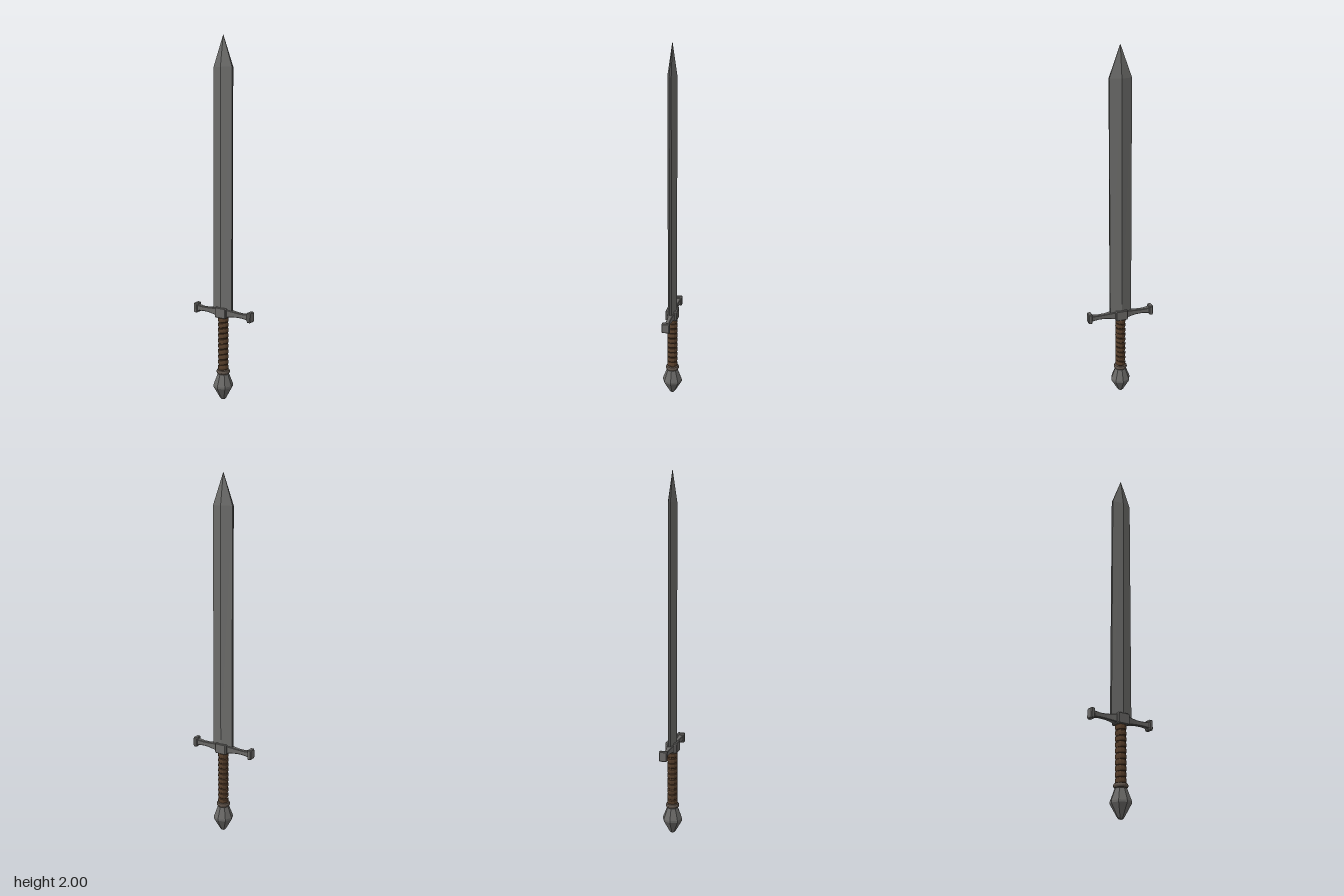
import * as THREE from 'three';

const steel = new THREE.MeshStandardMaterial({ name: 'steel', color: 0x6c6c6a, flatShading: true });
const edgeSteel = new THREE.MeshStandardMaterial({ name: 'worn edge steel', color: 0x4c4c4b, flatShading: true });
const fittings = new THREE.MeshStandardMaterial({ name: 'dull iron', color: 0x696866, flatShading: true });
const leather = new THREE.MeshStandardMaterial({ name: 'leather', color: 0x58402c, flatShading: true });
const darkLeather = new THREE.MeshStandardMaterial({ name: 'dark leather', color: 0x453122, flatShading: true });
const bronze = new THREE.MeshStandardMaterial({ name: 'collar bronze', color: 0x5c5148, flatShading: true });

function addMesh(parent, name, geometry, material) {
  const mesh = new THREE.Mesh(geometry, material);
  mesh.name = name;
  parent.add(mesh);
  return mesh;
}

// Joins rings of points (counter-clockwise seen from the far end) with flat faces.
// Sides chosen by materialOf(j); both ends are capped.
function loft(rings, materialOf = () => 0) {
  const buckets = [[], []];
  const n = rings[0].length;
  const tri = (m, ...pts) => pts.forEach((p) => buckets[m].push(...p));
  for (let i = 0; i < rings.length - 1; i++) {
    for (let j = 0; j < n; j++) {
      const k = (j + 1) % n;
      const [a, b, c, d] = [rings[i][j], rings[i][k], rings[i + 1][k], rings[i + 1][j]];
      tri(materialOf(j), a, b, c);
      tri(materialOf(j), a, c, d);
    }
  }
  const first = rings[0], last = rings[rings.length - 1];
  for (let j = 1; j < n - 1; j++) {
    tri(0, first[0], first[j + 1], first[j]);
    tri(0, last[0], last[j], last[j + 1]);
  }
  const geometry = new THREE.BufferGeometry();
  geometry.setAttribute('position', new THREE.Float32BufferAttribute(buckets.flat(), 3));
  geometry.addGroup(0, buckets[0].length / 3, 0);
  geometry.addGroup(buckets[0].length / 3, buckets[1].length / 3, 1);
  geometry.computeVertexNormals();
  return geometry;
}

// Six-sided blade section: a ridge on each face and narrow blunt edges
const bladeRing = (y, w, t, e) => [
  [w, y, e], [w, y, -e], [0, y, -t], [-w, y, -e], [-w, y, e], [0, y, t],
];

// Rectangular section with clipped corners, running along x
function barRing(x, y, h, w, c) {
  return [
    [h, -w + c], [h, w - c], [h - c, w], [-h + c, w],
    [-h, w - c], [-h, -w + c], [-h + c, -w], [h - c, -w],
  ].map(([dy, z]) => [x, y + dy, z]);
}

export function createModel() {
  const sword = new THREE.Group();
  sword.name = 'sword';

  // Blade
  const blade = loft([
    bladeRing(0.5, 0.062, 0.026, 0.007),
    bladeRing(1.835, 0.06, 0.026, 0.006),
    bladeRing(2.0, 0.0008, 0.0008, 0.0004),
  ], (j) => (j === 0 || j === 3 ? 1 : 0));
  addMesh(sword, 'blade', blade, [steel, edgeSteel]);

  // Crossguard: block, two waisted arms and bevelled end caps
  const guard = new THREE.Group();
  guard.name = 'crossguard';
  sword.add(guard);
  const gy = 0.506;
  addMesh(guard, 'guardBlock', loft([
    barRing(-0.036, gy, 0.024, 0.029, 0.003),
    barRing(-0.031, gy, 0.029, 0.033, 0.003),
    barRing(0.031, gy, 0.029, 0.033, 0.003),
    barRing(0.036, gy, 0.024, 0.029, 0.003),
  ]), fittings);
  for (const side of [1, -1]) {
    const half = new THREE.Group();
    half.name = side > 0 ? 'leftGuardArm' : 'rightGuardArm';
    half.rotation.y = side > 0 ? 0 : Math.PI;
    guard.add(half);
    const arm = [[0.02, 0.023, 0.022], [0.06, 0.018, 0.015], [0.095, 0.014, 0.011],
      [0.13, 0.013, 0.011], [0.155, 0.015, 0.013], [0.175, 0.018, 0.016]];
    addMesh(half, 'arm', loft(arm.map(([x, h, w]) => barRing(x, gy - 0.001, h, w, 0.003))), fittings);
    addMesh(half, 'endCap', loft([
      barRing(0.169, gy, 0.024, 0.018, 0.004),
      barRing(0.173, gy, 0.028, 0.022, 0.004),
      barRing(0.188, gy, 0.028, 0.022, 0.004),
      barRing(0.192, gy, 0.024, 0.018, 0.004),
    ]), fittings);
  }

  // Grip with tilted leather bands
  const core = addMesh(sword, 'gripCore', new THREE.CylinderGeometry(0.026, 0.025, 0.32, 12), darkLeather);
  core.position.y = 0.325;
  const bands = 10;
  for (let i = 0; i < bands; i++) {
    const band = addMesh(sword, 'gripWrap', new THREE.LatheGeometry([
      [0.025, -0.0145], [0.0285, -0.011], [0.0295, 0], [0.0285, 0.011], [0.025, 0.0145],
    ].map(([r, y]) => new THREE.Vector2(r, y)), 12), leather);
    band.position.y = 0.189 + i * 0.0305;
    band.rotation.z = i % 2 ? 0.1 : 0.16;
  }

  // Collar between grip and pommel
  addMesh(sword, 'collar', new THREE.LatheGeometry([
    [0.024, 0.15], [0.034, 0.153], [0.038, 0.161], [0.038, 0.166], [0.034, 0.174], [0.024, 0.177],
  ].map(([r, y]) => new THREE.Vector2(r, y)), 16), bronze);

  // Eight-sided pommel
  addMesh(sword, 'pommel', new THREE.LatheGeometry([
    [0, 0], [0.011, 0.001], [0.018, 0.009], [0.056, 0.076], [0.056, 0.087], [0.032, 0.15], [0, 0.156],
  ].map(([r, y]) => new THREE.Vector2(r, y)), 8), fittings);

  return sword;
}
